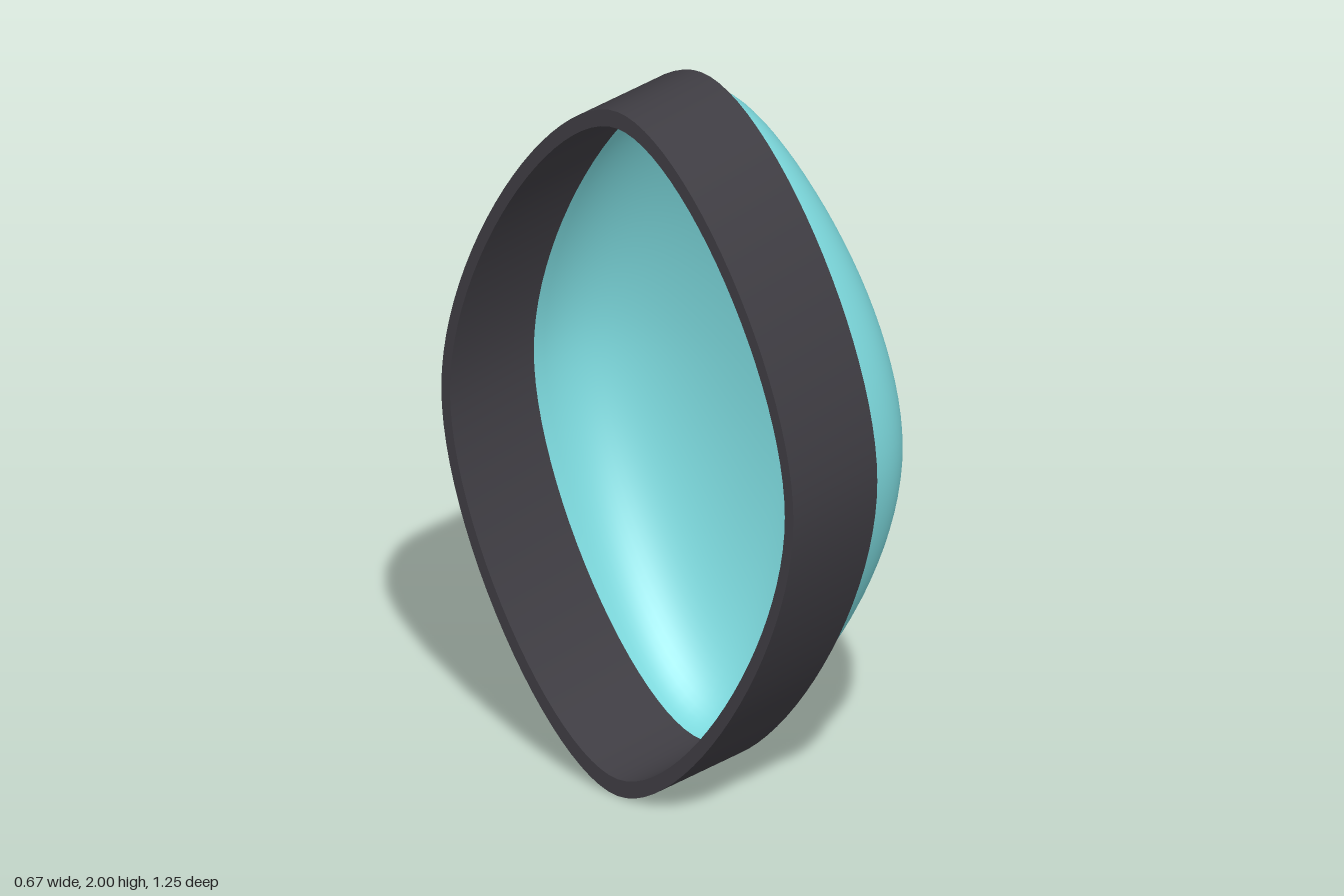
import * as THREE from 'three';
import { toCreasedNormals } from 'three/addons/utils/BufferGeometryUtils.js';

const DEPTH = 0.333;
const INNER = 0.951;

// Almond outline with rounded tips, counter-clockwise, scaled by s
function outline(s, quarter = 24) {
  const curve = new THREE.CubicBezierCurve(
    new THREE.Vector2(0.625, 0), new THREE.Vector2(0.625, 0.4),
    new THREE.Vector2(0.24, 1), new THREE.Vector2(0, 1));
  const q = curve.getPoints(quarter).map(p => p.multiplyScalar(s));
  const half = [...q, ...q.slice(0, -1).reverse().map(p => new THREE.Vector2(-p.x, p.y))];
  return [...half, ...half.slice(1, -1).reverse().map(p => new THREE.Vector2(p.x, -p.y))];
}

// Open band: outline with a matching hole, extruded along x
function bandGeometry() {
  const shape = new THREE.Shape(outline(1));
  shape.holes.push(new THREE.Path(outline(INNER).reverse()));
  const g = new THREE.ExtrudeGeometry(shape, { depth: DEPTH, bevelEnabled: false });
  g.rotateY(Math.PI / 2).translate(-DEPTH, 0, 0);
  return toCreasedNormals(g, 0.6);
}

// Bulging shell: shrinking outlines, rounder lengthwise and fuller across
function domeGeometry(steps = 28) {
  const base = outline(INNER);
  const n = base.length;
  const positions = [];
  const index = [];
  for (let i = 0; i < steps; i++) {
    const a = (i / steps) * Math.PI / 2;
    for (const p of base) {
      const u = (p.x / 0.625) ** 2;
      const e = 2 / (2 + 0.75 * u / (u + p.y * p.y));
      const r = Math.cos(a) ** e;
      positions.push(DEPTH * Math.sin(a) ** e, p.y * r, -p.x * r);
    }
  }
  positions.push(DEPTH, 0, 0);
  const apex = n * steps;
  for (let i = 0; i < steps; i++) {
    for (let j = 0; j < n; j++) {
      const k = (j + 1) % n;
      const a = i * n + j, b = i * n + k;
      if (i === steps - 1) index.push(a, b, apex);
      else index.push(a, b, a + n, b, b + n, a + n);
    }
  }
  const g = new THREE.BufferGeometry();
  g.setAttribute('position', new THREE.Float32BufferAttribute(positions, 3));
  g.setIndex(index);
  g.computeVertexNormals();
  return g;
}

export function createModel() {
  const charcoal = new THREE.MeshStandardMaterial({ color: 0x3e3c42 });
  charcoal.name = 'charcoal';
  const aqua = new THREE.MeshStandardMaterial({ color: 0x7cd8dc, side: THREE.DoubleSide });
  aqua.name = 'aqua';

  const band = new THREE.Mesh(bandGeometry(), charcoal);
  band.name = 'housingBand';
  const dome = new THREE.Mesh(domeGeometry(), aqua);
  dome.name = 'domeLens';

  const model = new THREE.Group();
  model.name = 'almondLamp';
  model.add(band, dome);
  band.position.y = dome.position.y = 1;
  return model;
}
